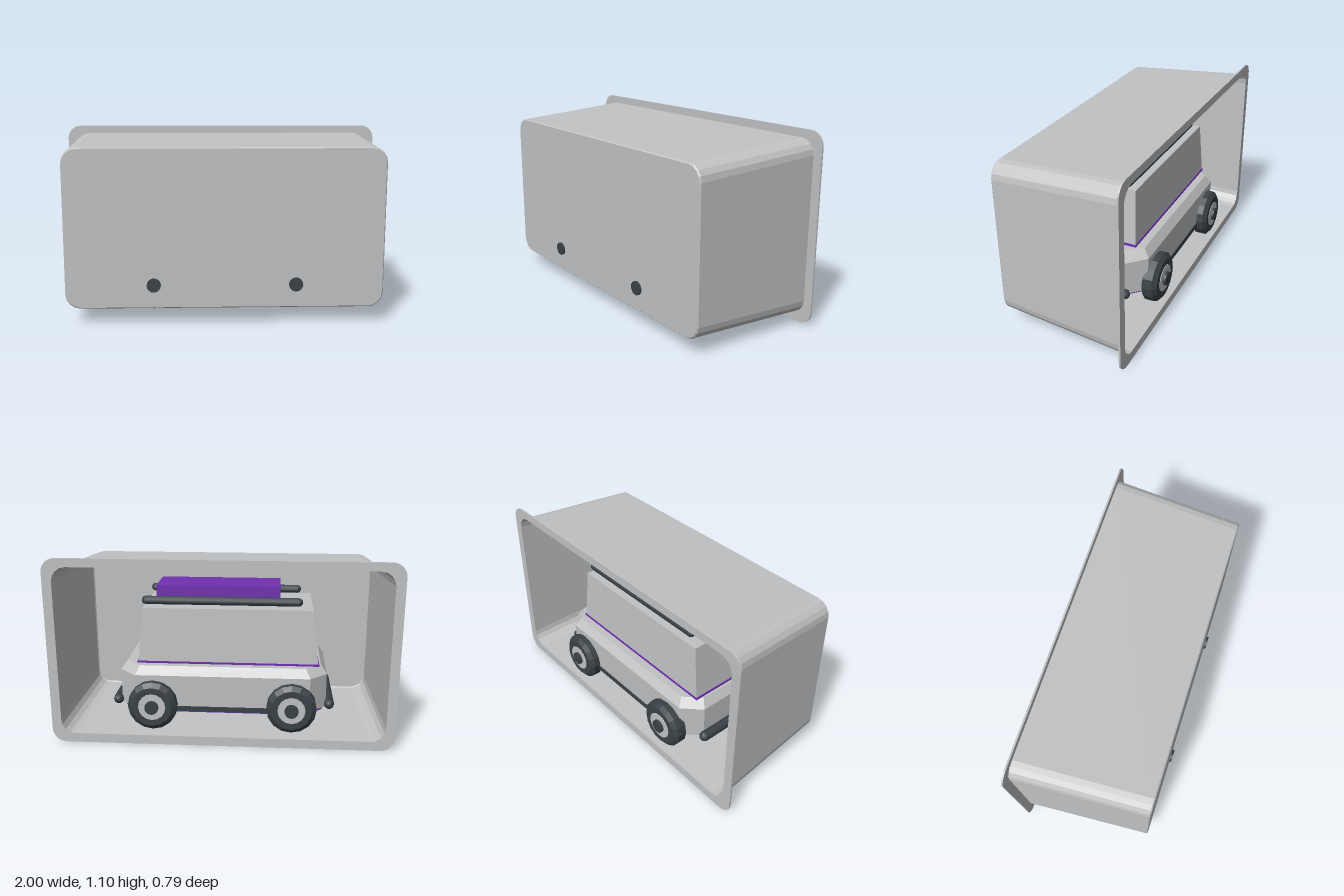
import * as THREE from 'three';

const grey = new THREE.MeshStandardMaterial({ color: 0xc0c2c4, side: THREE.DoubleSide });
grey.name = 'light grey';
const dark = new THREE.MeshStandardMaterial({ color: 0x3a4247 });
dark.name = 'charcoal';
const purple = new THREE.MeshStandardMaterial({ color: 0x7030b0 });
purple.name = 'purple';

function add(parent, name, geometry, material, x = 0, y = 0, z = 0) {
  const mesh = new THREE.Mesh(geometry, material);
  mesh.name = name;
  mesh.position.set(x, y, z);
  parent.add(mesh);
  return mesh;
}

// Rounded rectangle centred on x = 0, as a loop of points
function roundedLoop(hw, y0, y1, r, steps = 4) {
  const corners = [[hw - r, y1 - r], [r - hw, y1 - r], [r - hw, y0 + r], [hw - r, y0 + r]];
  const points = [];
  corners.forEach(([cx, cy], q) => {
    for (let i = 0; i <= steps; i++) {
      const a = (q + i / steps) * Math.PI / 2;
      points.push(new THREE.Vector2(cx + r * Math.cos(a), cy + r * Math.sin(a)));
    }
  });
  return points;
}

// Faceted skin through loops of 3D points, closed around and optionally capped at the end
function loft(loops, capStart, capEnd) {
  const pos = [];
  const tri = (a, b, c) => pos.push(...a, ...b, ...c);
  const n = loops[0].length;
  for (let k = 0; k < loops.length - 1; k++) {
    for (let i = 0; i < n; i++) {
      const j = (i + 1) % n, A = loops[k], B = loops[k + 1];
      tri(A[i], A[j], B[j]);
      tri(A[i], B[j], B[i]);
    }
  }
  const first = loops[0], last = loops[loops.length - 1];
  for (let i = 1; i < n - 1; i++) {
    if (capStart) tri(first[0], first[i + 1], first[i]);
    if (capEnd) tri(last[0], last[i], last[i + 1]);
  }
  const g = new THREE.BufferGeometry();
  g.setAttribute('position', new THREE.Float32BufferAttribute(pos, 3));
  g.computeVertexNormals();
  return g;
}

// Rectangle in plan with cut corners, at height y
function planLoop(y, x0, x1, hz, c) {
  return [[x1, hz - c], [x1, c - hz], [x1 - c, -hz], [x0 + c, -hz],
    [x0, c - hz], [x0, hz - c], [x0 + c, hz], [x1 - c, hz]].map(([x, z]) => [x, y, z]);
}

function makeTray() {
  const tray = new THREE.Group();
  tray.name = 'tray';
  // Tapered walls and closed front panel
  const loop = (z, hw, y0, y1, r) => roundedLoop(hw, y0, y1, r).map(p => [p.x, p.y, z]);
  add(tray, 'trayShell', loft([
    loop(-0.38, 0.947, 0.053, 1.053, 0.085),
    loop(0.377, 0.908, 0.094, 1.01, 0.085),
    loop(0.384, 0.902, 0.1, 1.004, 0.08),
  ], false, true), grey);

  // Flat flange round the opening
  const shape = new THREE.Shape(roundedLoop(1, 0, 1.1, 0.08, 6));
  shape.holes.push(new THREE.Path(roundedLoop(0.945, 0.055, 1.051, 0.083)));
  add(tray, 'trayFlange', new THREE.ExtrudeGeometry(shape, { depth: 0.01, bevelEnabled: false }), grey, 0, 0, -0.385);
  return tray;
}

function makeWheel(side) {
  const wheel = new THREE.Group();
  wheel.name = 'wheel';
  // Chamfered tyre, hub disc and axle cap, all along the axle
  const tyreProfile = [[0.001, -0.05], [0.115, -0.05], [0.145, -0.028], [0.145, 0.028],
    [0.118, 0.05], [0.075, 0.05], [0.072, 0.04], [0.001, 0.04]].map(p => new THREE.Vector2(...p));
  const tyre = new THREE.LatheGeometry(tyreProfile, 16).toNonIndexed();
  tyre.computeVertexNormals();
  add(wheel, 'tyre', tyre, dark);
  add(wheel, 'hubDisc', new THREE.CylinderGeometry(0.08, 0.08, 0.02, 16), grey, 0, 0.043, 0);
  add(wheel, 'axleCap', new THREE.CylinderGeometry(0.04, 0.04, 0.045, 16), dark, 0, 0.0475, 0);
  wheel.rotation.x = side * Math.PI / 2;
  return wheel;
}

function makeVehicle() {
  const car = new THREE.Group();
  car.name = 'vehicle';

  // Lower body with cut corners and a bevelled top edge
  add(car, 'lowerBody', loft([
    planLoop(0.2, -0.61, 0.61, 0.315, 0.1),
    planLoop(0.405, -0.61, 0.61, 0.32, 0.1),
    planLoop(0.455, -0.575, 0.575, 0.285, 0.09),
  ], true, true), grey);
  add(car, 'chassis', loft([
    planLoop(0.175, -0.59, 0.59, 0.3, 0.1),
    planLoop(0.2, -0.59, 0.59, 0.3, 0.1),
  ], true, true), purple);

  // Tapered cabin on a thin trim plate
  add(car, 'cabinTrim', new THREE.BoxGeometry(1.07, 0.012, 0.48), purple, -0.028, 0.46, 0);
  const rect = (y, x0, x1, hz) => [[x1, y, hz], [x1, y, -hz], [x0, y, -hz], [x0, y, hz]];
  add(car, 'cabin', loft([rect(0.466, -0.557, 0.5, 0.235), rect(0.785, -0.52, 0.47, 0.221)], true, true), grey);

  // Roof box between two rails
  add(car, 'roofBox', new THREE.BoxGeometry(0.73, 0.115, 0.25), purple, 0.035, 0.842, 0);

  for (const s of [-1, 1]) {
    const rail = add(car, 'roofRail', new THREE.CapsuleGeometry(0.025, 0.89, 3, 10), dark, 0.01, 0.822, s * 0.175);
    rail.rotation.z = Math.PI / 2;
    const bumper = add(car, 'bumper', new THREE.CapsuleGeometry(0.03, 0.46, 3, 10), dark, s * 0.63, 0.22, 0);
    bumper.rotation.x = Math.PI / 2;
    add(car, 'sill', new THREE.BoxGeometry(0.6, 0.03, 0.03), dark, 0, 0.202, s * 0.305);
    for (const x of [-0.405, 0.405]) {
      const wheel = makeWheel(s);
      wheel.position.set(x, 0.23, s * 0.327);
      car.add(wheel);
    }
  }
  return car;
}

export function createModel() {
  const model = new THREE.Group();
  model.name = 'vehicleInTray';
  model.add(makeTray(), makeVehicle());
  return model;
}
